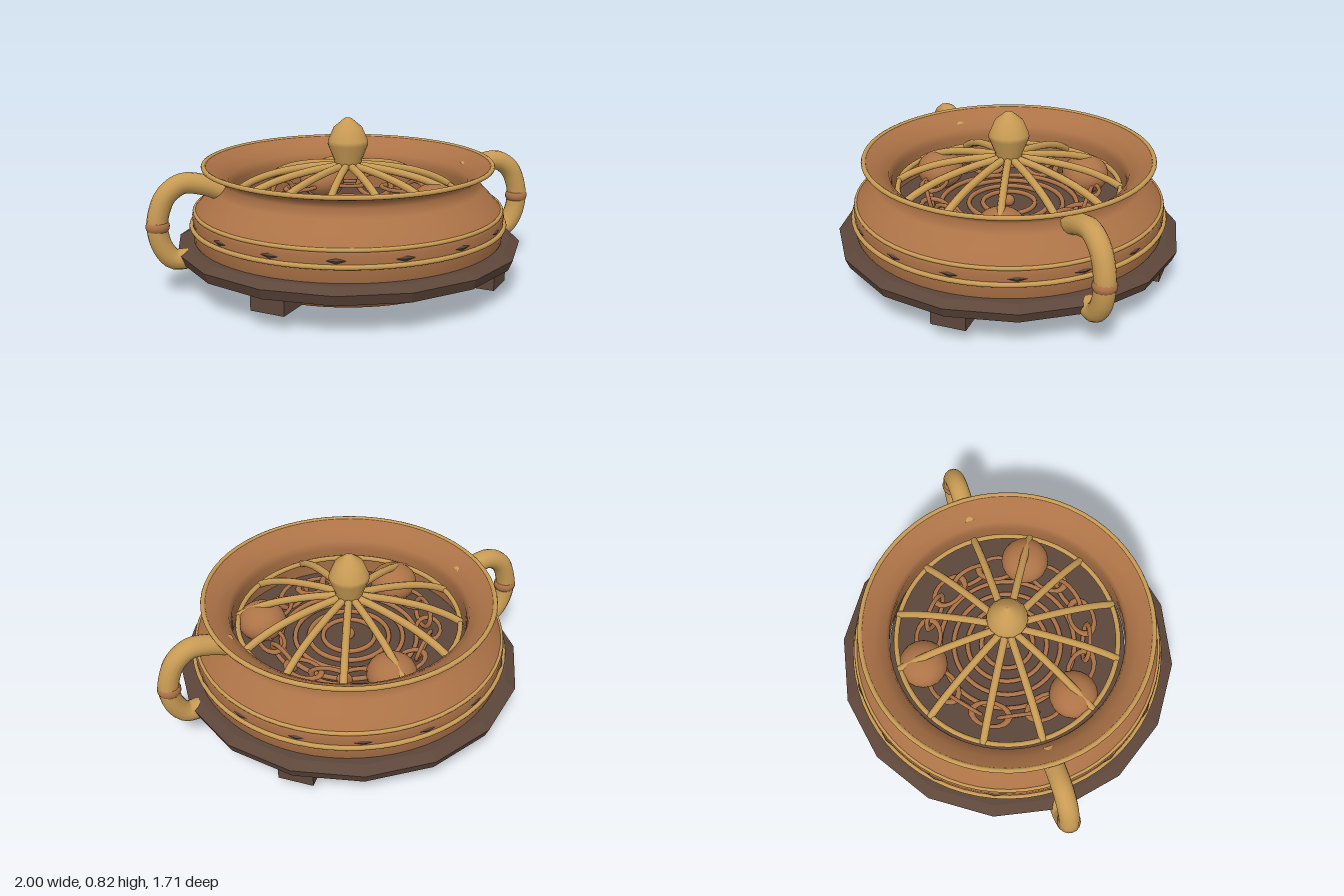
import * as THREE from 'three';

const V = (x, y, z = 0) => new THREE.Vector3(x, y, z);

export function createModel() {
  const root = new THREE.Group();
  const material = (name, color, extra = {}) => {
    const m = new THREE.MeshStandardMaterial({ color, ...extra });
    m.name = name;
    return m;
  };
  const copper = material('copper clay', 0xad7347);
  const gold = material('gold', 0xc89b54);
  const dark = material('dark wood', 0x5d463a, { flatShading: true });

  const add = (name, geometry, mat, parent = root) => {
    const mesh = new THREE.Mesh(geometry, mat);
    mesh.name = name;
    parent.add(mesh);
    return mesh;
  };
  const lathe = (pts, sides) => new THREE.LatheGeometry(pts.map(([r, y]) => new THREE.Vector2(r, y)), sides);
  const ring = (name, r, y, tube, mat) => {
    const m = add(name, new THREE.TorusGeometry(r, tube, 8, 64), mat);
    m.rotation.x = Math.PI / 2;
    m.position.y = y;
    return m;
  };

  // Bowl wall: outside from the base up, over the rim and down the inside
  add('bowl', lathe([
    [0, 0.005], [0.42, 0.015], [0.64, 0.08], [0.72, 0.16], [0.765, 0.24], [0.77, 0.36], [0.757, 0.385],
    [0.71, 0.437], [0.66, 0.49], [0.625, 0.53], [0.66, 0.565], [0.715, 0.602],
    [0.7, 0.602], [0.64, 0.565], [0.59, 0.525], [0.58, 0.48], [0.59, 0.41], [0.6, 0.32],
  ], 64), copper);
  ring('rimBand', 0.708, 0.597, 0.012, gold);
  ring('upperBand', 0.757, 0.381, 0.01, gold);
  ring('lowerBand', 0.773, 0.31, 0.012, gold);

  // Sixteen-sided base plate with a bevelled edge
  add('basePlate', lathe([
    [0.69, 0.165], [0.835, 0.16], [0.855, 0.21], [0.805, 0.235], [0.69, 0.235],
  ], 16), dark);

  // Feet set on the diagonals
  for (let i = 0; i < 4; i++) {
    const a = Math.PI / 4 + i * Math.PI / 2;
    const foot = add('foot', new THREE.BoxGeometry(0.17, 0.1, 0.17), dark);
    foot.position.set(Math.sin(a) * 0.71, 0.13, Math.cos(a) * 0.71);
    foot.rotation.y = a;
  }

  // Diamond inlays around the belt
  for (let i = 0; i < 16; i++) {
    const a = i * Math.PI / 8;
    const inlay = add('diamondInlay', new THREE.OctahedronGeometry(1), dark);
    inlay.scale.set(0.045, 0.014, 0.009);
    inlay.position.set(Math.sin(a) * 0.768, 0.337, Math.cos(a) * 0.768);
    inlay.rotation.y = a;
  }

  // Inner floor with concentric rings
  const floor = add('innerFloor', new THREE.CylinderGeometry(0.595, 0.595, 0.02, 48), dark);
  floor.position.y = 0.32;
  for (const r of [0.13, 0.2, 0.27, 0.34]) ring('floorRing', r, 0.34, 0.012, copper);
  add('floorBead', new THREE.SphereGeometry(0.03, 12, 8), copper).position.y = 0.35;

  // Three balls resting on the floor
  for (let i = 0; i < 3; i++) {
    const a = Math.PI + i * Math.PI * 2 / 3;
    const ball = add('ball', new THREE.SphereGeometry(0.12, 20, 14), copper);
    ball.scale.y = 0.8;
    ball.position.set(Math.sin(a) * 0.435, 0.415, Math.cos(a) * 0.435);
  }

  // Chain of alternately flat and upright links
  const chain = new THREE.Group();
  chain.name = 'chain';
  root.add(chain);
  for (let i = 0; i < 18; i++) {
    const a = i * Math.PI / 9;
    const g = new THREE.TorusGeometry(0.06, 0.011, 6, 18);
    g.scale(1.55, 1, 1);
    g.rotateX(i % 2 ? 0.25 : Math.PI / 2);
    const link = add('chainLink', g, copper, chain);
    link.position.set(Math.sin(a) * 0.395, 0.395, Math.cos(a) * 0.395);
    link.rotation.y = a;
  }

  // Domed grille of twelve ribs
  ring('grilleRing', 0.55, 0.445, 0.013, gold);
  const ribCurve = new THREE.CatmullRomCurve3([V(0.03, 0.588), V(0.2, 0.567), V(0.38, 0.525), V(0.5, 0.475), V(0.555, 0.44)]);
  const ribGeometry = new THREE.TubeGeometry(ribCurve, 16, 0.019, 8);
  for (let i = 0; i < 12; i++) add('grilleRib', ribGeometry, gold).rotation.y = i * Math.PI / 6;

  // Finial knob
  add('knob', lathe([
    [0, 0.56], [0.065, 0.57], [0.068, 0.61], [0.1, 0.69], [0.098, 0.71], [0.07, 0.775], [0.018, 0.818], [0, 0.823],
  ], 16), gold);

  // Side handles, each with a bead at the middle
  const handleCurve = new THREE.CatmullRomCurve3([
    V(0.63, 0.505), V(0.73, 0.543), V(0.82, 0.553), V(0.895, 0.505), V(0.932, 0.43),
    V(0.945, 0.35), V(0.925, 0.255), V(0.875, 0.19), V(0.8, 0.185),
  ]);
  const handleGeometry = new THREE.TubeGeometry(handleCurve, 32, 0.05, 14);
  for (const side of [0, 1]) {
    const handle = new THREE.Group();
    handle.name = side ? 'rightHandle' : 'leftHandle';
    handle.rotation.y = side * Math.PI;
    root.add(handle);
    add('handleLoop', handleGeometry, gold, handle);
    const bead = add('handleBead', new THREE.SphereGeometry(0.057, 16, 12), copper, handle);
    bead.scale.y = 0.75;
    bead.position.set(0.943, 0.355, 0);
    const endCap = add('handleEnd', new THREE.SphereGeometry(0.05, 14, 10), gold, handle);
    endCap.scale.x = 0.3;
    endCap.position.set(0.8, 0.185, 0);
  }
  return root;
}
